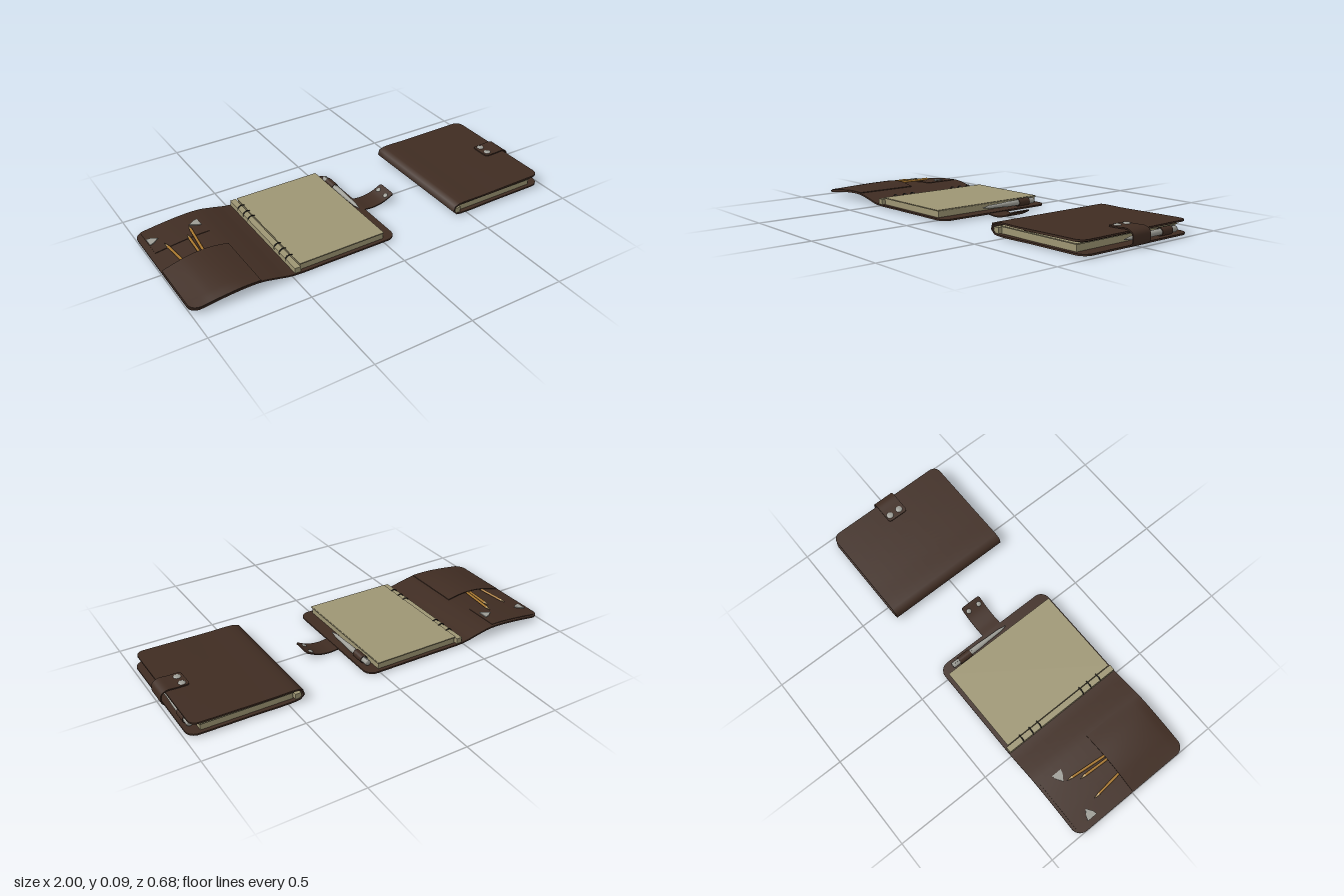
import * as THREE from 'three';

const mat = (name, color) => Object.assign(new THREE.MeshStandardMaterial({ color }), { name });
const leather = mat('brown leather', 0x3f2c22);
const paper = mat('cream paper', 0x9d9573);
const metal = mat('grey metal', 0x9c9c95);
const darkMetal = mat('dark metal', 0x2c2a27);
const wood = mat('pencil yellow', 0xa9782f);
const tipWood = mat('pencil tip wood', 0xc4a46c);

function add(parent, name, geometry, material, x = 0, y = 0, z = 0) {
  const m = new THREE.Mesh(geometry, material);
  m.name = name;
  m.position.set(x, y, z);
  parent.add(m);
  return m;
}

const box = (parent, name, material, x0, x1, y0, y1, z0, z1) =>
  add(parent, name, new THREE.BoxGeometry(x1 - x0, y1 - y0, z1 - z0), material,
    (x0 + x1) / 2, (y0 + y1) / 2, (z0 + z1) / 2);

// Thick sheet that follows an (x, y) path, with rounded ends and an optional lift off the path
function sheet(points, z0, z1, { t = 0.008, r0 = 0, r1 = 0, lift = () => 0, corner = 0 } = {}) {
  const curve = new THREE.CatmullRomCurve3(points.map(([x, y]) => new THREE.Vector3(x, y, 0)), false, 'centripetal');
  const length = curve.getLength();
  const geo = new THREE.BoxGeometry(1, t, 1, 64, 1, 12);
  const pos = geo.attributes.position;
  const inset = (d, r) => (d < r ? r - Math.sqrt(r * r - (r - d) ** 2) : 0);
  for (let i = 0; i < pos.count; i++) {
    const s = THREE.MathUtils.clamp(0.5 - 0.5 * Math.cos(Math.PI * (pos.getX(i) + 0.5)), 0, 1);
    const k = pos.getZ(i) + 0.5;
    const p = curve.getPointAt(s), tan = curve.getTangentAt(s);
    const cut = Math.max(inset(s * length, r0), inset((1 - s) * length, r1));
    const back = corner ? 0 : cut;
    const front = corner ? Math.max(inset(s * length, corner), 0) : cut;
    const h = pos.getY(i) + lift(s, k);
    pos.setXYZ(i, p.x - tan.y * h, p.y + tan.x * h, THREE.MathUtils.lerp(z0 + back, z1 - front, k));
  }
  geo.computeVertexNormals();
  return geo;
}

// Pencil lying flat, from its blunt end to its point
function pencil(parent, from, to) {
  const a = new THREE.Vector3(...from), b = new THREE.Vector3(...to);
  const len = a.distanceTo(b), r = 0.007;
  const g = new THREE.Group();
  g.name = 'pencil';
  add(g, 'pencilBody', new THREE.CylinderGeometry(r, r, len - 0.035, 6), wood, 0, (len - 0.035) / 2, 0);
  add(g, 'pencilTip', new THREE.CylinderGeometry(0.002, r, 0.027, 6), tipWood, 0, len - 0.0215, 0);
  add(g, 'pencilLead', new THREE.ConeGeometry(0.002, 0.008, 6), darkMetal, 0, len - 0.004, 0);
  g.position.copy(a);
  g.quaternion.setFromUnitVectors(new THREE.Vector3(0, 1, 0), b.sub(a).normalize());
  parent.add(g);
}

function snap(parent, x, y, z, r, tilt = 0) {
  const profile = [[0, 0.006], [r * 0.6, 0.0052], [r * 0.9, 0.003], [r, 0]].reverse();
  const m = add(parent, 'snapButton',
    new THREE.LatheGeometry(profile.map(([a, b]) => new THREE.Vector2(a, b)), 20), metal, x, y, z);
  m.rotation.z = tilt;
}

// Page stack, ring binding and pen, shared by both notebooks
function insides(shift) {
  const g = new THREE.Group();
  g.name = 'pagesAndPen';
  box(g, 'pageBlock', paper, -0.452, 0.003, 0.014, 0.044, -0.32, 0.315);
  for (let i = 0; i < 2; i++)
    box(g, 'topSheet', paper, -0.456, 0.008 - i * 0.003, 0.0455 + i * 0.003, 0.0475 + i * 0.003, -0.325, 0.32);
  box(g, 'bindingStrip', paper, -0.488, -0.458, 0.014, 0.042, -0.335, 0.33);
  for (const z of [-0.25, -0.19, -0.14, 0.13, 0.18, 0.24])
    add(g, 'bindingRing', new THREE.TorusGeometry(0.021, 0.003, 8, 24), darkMetal, -0.466, 0.034, z);

  const penProfile = [[0, 0], [0.002, 0], [0.005, 0.02], [0.009, 0.04], [0.011, 0.12], [0.014, 0.17],
    [0.0145, 0.335], [0.012, 0.34], [0, 0.34]];
  const pen = add(g, 'pen',
    new THREE.LatheGeometry(penProfile.map(([r, h]) => new THREE.Vector2(r, h)), 20), metal, 0.033, 0.034, 0.06);
  pen.rotation.x = -Math.PI / 2;
  box(g, 'penClip', metal, 0.031, 0.035, 0.049, 0.052, -0.27, -0.16);
  const ring = new THREE.Shape().absarc(0, 0, 0.0195, 0, Math.PI * 2);
  ring.holes.push(new THREE.Path().absarc(0, 0, 0.016, 0, Math.PI * 2, true));
  add(g, 'penLoop', new THREE.ExtrudeGeometry(ring, { depth: 0.07, bevelEnabled: false, curveSegments: 16 }),
    leather, 0.033, 0.034, -0.24);
  g.position.x = shift;
  return g;
}

const bulge = (height) => (s, k) => 0.006 * Math.sign(height) + height * Math.sin(Math.PI * s) * Math.sqrt(1 - k * k);

function openNotebook() {
  const g = new THREE.Group();
  g.name = 'openNotebook';
  const flap = [[-1, 0.015], [-0.93, 0.024], [-0.87, 0.032], [-0.75, 0.043], [-0.66, 0.043]];
  add(g, 'cover', sheet([...flap, [-0.58, 0.028], [-0.5, 0.012], [-0.3, 0.01], [0.07, 0.01]],
    -0.34, 0.335, { r0: 0.05, r1: 0.05 }), leather);

  // Flap pocket, card panel and its metal corners
  add(g, 'pocket', sheet([[-0.995, 0.016], ...flap.slice(1)], 0, 0.333,
    { t: 0.004, corner: 0.05, lift: bulge(0.018) }), leather);
  add(g, 'cardPanel', sheet([[-0.97, 0.019], [-0.87, 0.032], [-0.75, 0.043], [-0.69, 0.044]], -0.325, -0.14,
    { t: 0.004, lift: () => 0.005 }), leather);
  for (const [x, y, dir, tilt] of [[-0.97, 0.029, 1, 0.13], [-0.705, 0.053, -1, 0.02]]) {
    const tri = new THREE.Shape([new THREE.Vector2(0, -0.027), new THREE.Vector2(0.02, -0.022),
      new THREE.Vector2(0.052, 0), new THREE.Vector2(0.02, 0.022), new THREE.Vector2(0, 0.027)]);
    const geo = new THREE.ExtrudeGeometry(tri, { depth: 0.004, bevelEnabled: false }).rotateX(-Math.PI / 2);
    if (dir < 0) geo.rotateY(Math.PI);
    add(g, 'cardCorner', geo, metal, x, y, -0.23).rotation.z = tilt;
  }
  pencil(g, [-0.885, 0.043, 0.08], [-0.91, 0.041, -0.17]);
  pencil(g, [-0.81, 0.053, 0.08], [-0.798, 0.054, -0.165]);
  pencil(g, [-0.795, 0.055, 0.08], [-0.765, 0.06, -0.22]);

  // Loose strap
  add(g, 'strap', sheet([[0.03, 0.01], [0.07, 0.008], [0.12, 0.004], [0.18, 0.013], [0.246, 0.042]],
    -0.06, 0.053, { t: 0.006, r1: 0.012 }), leather);
  for (const z of [-0.036, 0.028]) snap(g, 0.214, 0.03, z, 0.013, 0.4);
  g.add(insides(0));
  return g;
}

function closedNotebook() {
  const g = new THREE.Group();
  g.name = 'closedNotebook';
  add(g, 'cover', sheet([[0.985, 0.011], [0.7, 0.01], [0.45, 0.01], [0.425, 0.018], [0.419, 0.036], [0.426, 0.055],
    [0.45, 0.063], [0.6, 0.064], [0.8, 0.067], [0.972, 0.069]], -0.34, 0.335, { r0: 0.05, r1: 0.04 }), leather);
  add(g, 'pocket', sheet([[0.63, 0.064], [0.8, 0.067], [0.965, 0.069]], 0, 0.333,
    { t: 0.003, r1: 0.04, lift: bulge(-0.009) }), leather);
  pencil(g, [0.86, 0.056, 0.08], [0.88, 0.056, -0.17]);
  pencil(g, [0.775, 0.055, 0.08], [0.765, 0.055, -0.165]);
  pencil(g, [0.758, 0.055, 0.08], [0.735, 0.055, -0.22]);

  // Fastened strap wrapping the open side
  add(g, 'strap', sheet([[0.91, 0.004], [0.972, 0.005], [0.992, 0.018], [0.996, 0.042], [0.99, 0.066],
    [0.965, 0.079], [0.92, 0.078], [0.853, 0.077]], -0.057, 0.056, { t: 0.006, r1: 0.015 }), leather);
  for (const z of [-0.033, 0.025]) snap(g, 0.883, 0.0805, z, 0.018);
  g.add(insides(0.92));
  return g;
}

export function createModel() {
  const model = new THREE.Group();
  model.name = 'leatherNotebooks';
  model.add(openNotebook(), closedNotebook());
  return model;
}
